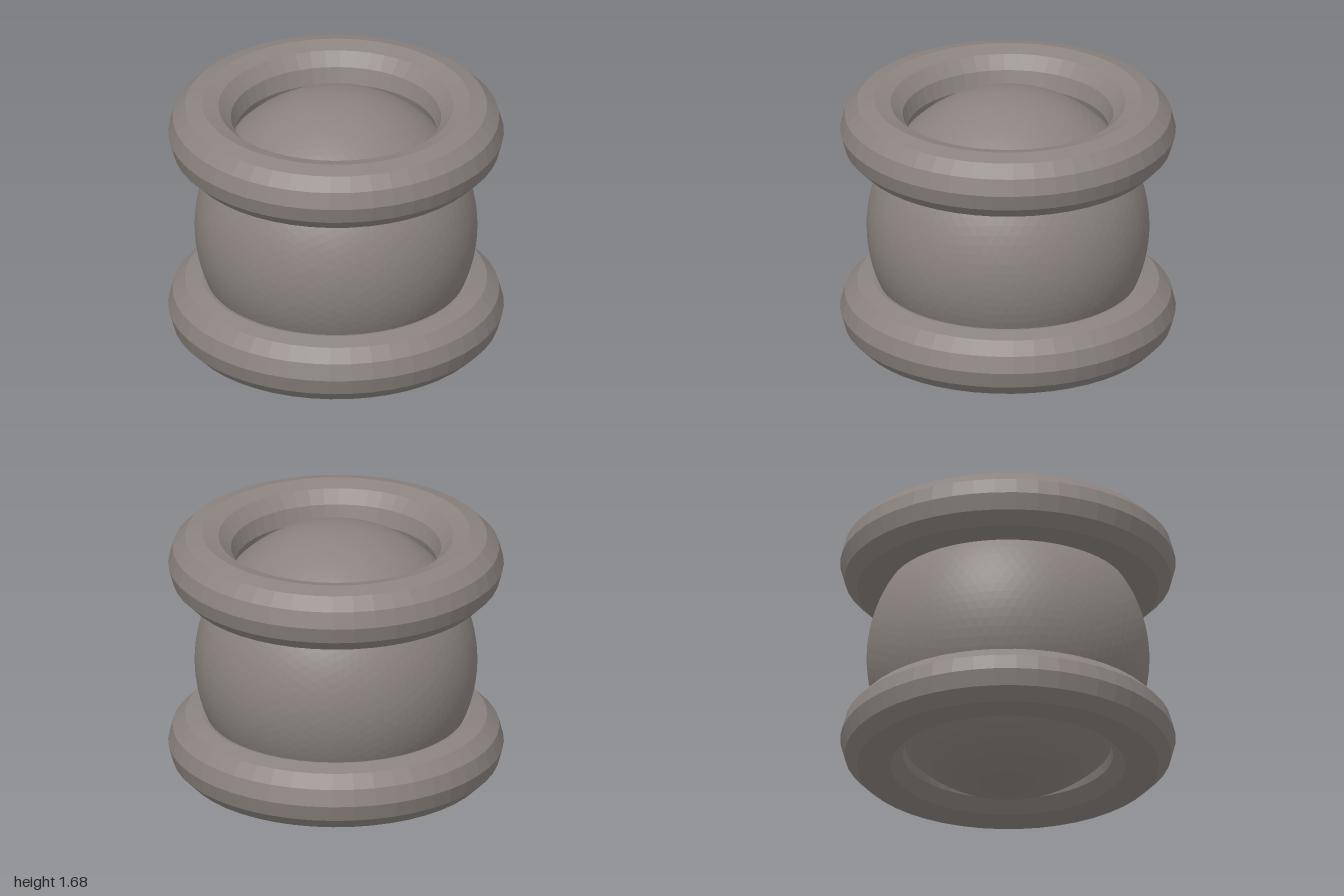
import * as THREE from 'three';

export function createModel() {
  const group = new THREE.Group();
  const stone = new THREE.MeshStandardMaterial({ color: 0x8b837f, flatShading: true });
  stone.name = 'warm grey';

  // Finely faceted ball in the middle
  const ball = new THREE.Mesh(new THREE.IcosahedronGeometry(0.842, 15), stone);
  ball.name = 'ball';
  ball.position.y = 0.842;
  group.add(ball);

  // Two thick faceted rings around the ball
  const ringGeometry = new THREE.TorusGeometry(0.8, 0.2, 12, 48).rotateX(-Math.PI / 2);
  for (const [name, y] of [['lowerRing', 0.315], ['upperRing', 1.47]]) {
    const ring = new THREE.Mesh(ringGeometry, stone);
    ring.name = name;
    ring.position.y = y;
    group.add(ring);
  }

  return group;
}
